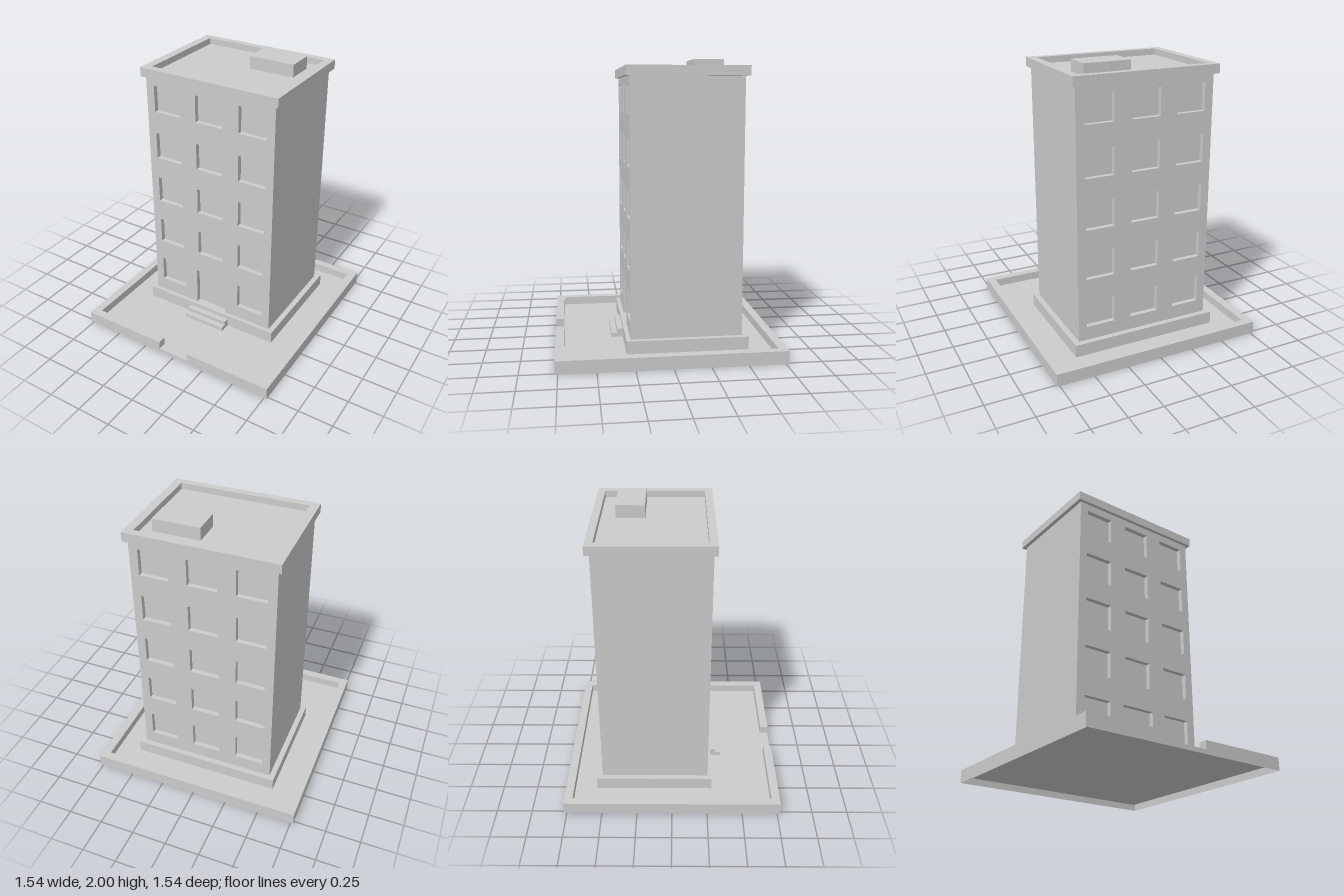
import * as THREE from 'three';
import { mergeGeometries } from 'three/addons/utils/BufferGeometryUtils.js';

const solid = new THREE.MeshStandardMaterial({ color: 0xcccccc, flatShading: true });
const sheet = new THREE.MeshStandardMaterial({ color: 0xcccccc, flatShading: true, side: THREE.DoubleSide });

export function createModel() {
  const model = new THREE.Group();
  model.name = 'apartmentBlock';

  const add = (name, geometry, material = solid, parent = model) => {
    const mesh = new THREE.Mesh(geometry, material);
    mesh.name = name;
    parent.add(mesh);
    return mesh;
  };

  // Box given by its limits on each axis
  const box = (name, [x0, x1], [y0, y1], [z0, z1]) =>
    add(name, new THREE.BoxGeometry(x1 - x0, y1 - y0, z1 - z0)
      .translate((x0 + x1) / 2, (y0 + y1) / 2, (z0 + z1) / 2));

  const outline = (points) => new THREE.Shape(points.map(([x, y]) => new THREE.Vector2(x, y)));
  const rect = (x0, x1, y0, y1) => [[x0, y0], [x1, y0], [x1, y1], [x0, y1]];

  // Flat horizontal sheet from x, z points
  const flat = (points, y) => new THREE.ShapeGeometry(outline(points.map(([x, z]) => [x, -z])))
    .rotateX(-Math.PI / 2).translate(0, y, 0);

  // Upright sheets along a closed path of x, z points
  const walls = (points, y0, y1) => mergeGeometries(points.map(([x, z], i) => {
    const [x2, z2] = points[(i + 1) % points.length];
    return new THREE.PlaneGeometry(Math.hypot(x2 - x, z2 - z), y1 - y0)
      .rotateY(Math.atan2(z - z2, x2 - x))
      .translate((x + x2) / 2, (y0 + y1) / 2, (z + z2) / 2);
  }));

  // Plot: hollow kerb with an entrance gap around a sunken yard, open below
  const o = 0.77, n = 0.71, g = 0.12, yard = 0.03, kerbTop = 0.09;
  const kerb = [[g, o], [o, o], [o, -o], [-o, -o], [-o, o], [-g, o],
    [-g, n], [-n, n], [-n, -n], [n, -n], [n, n], [g, n]];
  add('kerb', mergeGeometries([flat(kerb, kerbTop), walls(kerb, yard, kerbTop)]), sheet);
  add('plotEdge', walls([[-o, o], [o, o], [o, -o], [-o, -o]], 0, yard), sheet);
  add('yard', flat([[-n, n], [-g, n], [-g, o], [g, o], [g, n], [n, n], [n, -n], [-n, -n]], yard), sheet);

  // Plinth and entrance steps
  box('plinth', [-0.54, 0.54], [yard, 0.12], [-0.55, 0.29]);
  box('upperStep', [-0.165, 0.165], [yard, 0.09], [0.29, 0.33]);
  box('lowerStep', [-0.165, 0.165], [yard, 0.06], [0.29, 0.37]);

  // Tower core, with a pierced facade slab on front and back
  const y0 = 0.12, y1 = 1.89, depth = 0.035, front = 0.26, back = -0.51;
  box('towerCore', [-0.5, 0.5], [y0, y1], [back + depth, front - depth]);

  const facade = (hasDoor) => {
    const door = hasDoor ? [[-0.125, y0], [-0.125, 0.415], [0.125, 0.415], [0.125, y0]] : [];
    const shape = outline([[-0.5, y0], ...door, [0.5, y0], [0.5, y1], [-0.5, y1]]);
    for (let row = 0; row < 5; row++) {
      for (const x of [-0.335, 0, 0.335]) {
        if (hasDoor && row === 0 && x === 0) continue;
        const y = 0.317 + row * 0.355;
        shape.holes.push(outline(rect(x - 0.104, x + 0.104, y - 0.097, y + 0.097)));
      }
    }
    return new THREE.ExtrudeGeometry(shape, { depth, bevelEnabled: false });
  };
  add('frontFacade', facade(true)).position.z = front - depth;
  const backFacade = add('backFacade', facade(false));
  backFacade.rotation.y = Math.PI;
  backFacade.position.z = back + depth;

  // Roof: overhanging parapet frame, recessed deck and rooftop hut
  const parapet = outline(rect(-0.527, 0.527, -0.285, 0.54));
  parapet.holes.push(outline(rect(-0.465, 0.465, -0.23, 0.487)));
  add('parapet', new THREE.ExtrudeGeometry(parapet, { depth: 0.065, bevelEnabled: false })
    .rotateX(-Math.PI / 2).translate(0, y1, 0));
  box('roofDeck', [-0.465, 0.465], [y1, 1.91], [-0.487, 0.23]);
  box('rooftopHut', [0.053, 0.387], [1.91, 2], [-0.385, -0.185]);

  return model;
}
